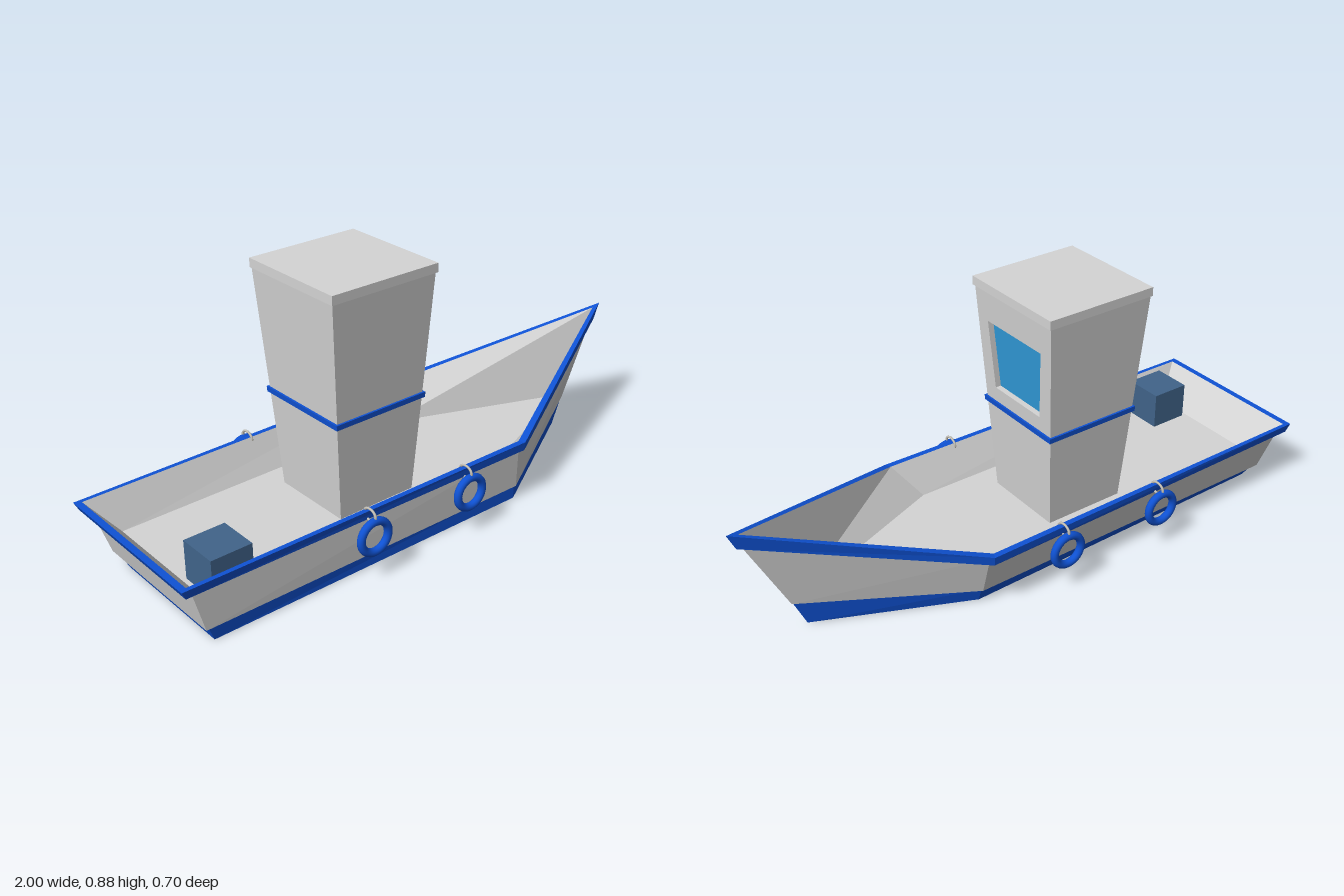
import * as THREE from 'three';

const paint = (name, color) => {
  const m = new THREE.MeshStandardMaterial({ color, side: THREE.DoubleSide });
  m.name = name;
  return m;
};

// Flat-faced surface through a list of closed rings, with optional end caps
function loft(rings, { capStart = false, capEnd = false, skip = -1 } = {}) {
  const pos = [];
  const tri = (a, b, c) => pos.push(...a, ...b, ...c);
  for (let r = 0; r < rings.length - 1; r++) {
    const a = rings[r], b = rings[r + 1], n = a.length;
    for (let i = 0; i < n; i++) {
      if (i === skip) continue;
      const j = (i + 1) % n;
      tri(a[i], a[j], b[j]);
      tri(a[i], b[j], b[i]);
    }
  }
  const cap = (ring, flip) => {
    for (let i = 1; i < ring.length - 1; i++) {
      if (flip) tri(ring[0], ring[i + 1], ring[i]);
      else tri(ring[0], ring[i], ring[i + 1]);
    }
  };
  if (capStart) cap(rings[0], true);
  if (capEnd) cap(rings[rings.length - 1], false);
  const g = new THREE.BufferGeometry();
  g.setAttribute('position', new THREE.Float32BufferAttribute(pos, 3));
  g.computeVertexNormals();
  return g;
}

// Hull outline: stern [x, y, z left, z right], knee likewise, bow [x, y]
const outline = (s, k, b) => [
  [s[0], s[1], s[2]], [k[0], k[1], k[2]], [b[0], b[1], 0],
  [k[0], k[1], -k[3]], [s[0], s[1], -s[3]],
];

// Cabin cross-section, widening upwards; grow pushes it outwards
const front = (y) => -0.054 + 0.063 * y;
const cabinRing = (y, grow = 0) => {
  const f = front(y) + grow, b = -0.33 - 0.07 * y - grow, w = 0.14 + 0.065 * y + grow;
  return [[b, y, w], [f, y, w], [f, y, -w], [b, y, -w]];
};

export function createModel() {
  const white = paint('light grey paint', 0xd4d4d4);
  const blue = paint('blue paint', 0x0f52d4);
  const glass = paint('window blue', 0x309bd9);
  const slate = paint('slate blue', 0x41648a);
  const rope = paint('rope grey', 0xc4c0b6);

  const boat = new THREE.Group();
  boat.name = 'boat';
  const add = (name, geometry, material, parent = boat) => {
    const m = new THREE.Mesh(geometry, material);
    m.name = name;
    parent.add(m);
    return m;
  };

  // Blue keel strip and bottom
  add('keel', loft([
    outline([-0.89, 0, 0.27, 0.2], [0.29, 0, 0.28, 0.22], [0.78, 0]),
    outline([-0.91, 0.05, 0.275, 0.23], [0.29, 0.05, 0.28, 0.235], [0.82, 0.092]),
  ], { capStart: true }), blue);

  // Hull sides with a small lip over the keel
  const hullTop = outline([-0.96, 0.2, 0.28, 0.28], [0.29, 0.2, 0.295, 0.285], [0.96, 0.37]);
  add('hull', loft([
    outline([-0.91, 0.05, 0.27, 0.225], [0.29, 0.05, 0.275, 0.23], [0.815, 0.092]),
    outline([-0.92, 0.05, 0.28, 0.24], [0.29, 0.05, 0.29, 0.245], [0.825, 0.094]),
    hullTop,
  ]), white);

  // Blue rail around the top edge
  const railInner = outline([-0.978, 0.225, 0.288, 0.288], [0.285, 0.225, 0.297, 0.297], [0.965, 0.415]);
  add('rail', loft([
    hullTop,
    outline([-0.985, 0.195, 0.296, 0.296], [0.295, 0.195, 0.315, 0.315], [0.975, 0.368]),
    outline([-1, 0.225, 0.302, 0.302], [0.295, 0.225, 0.318, 0.318], [1, 0.425]),
    railInner,
  ]), blue);

  // Sloped inner walls and deck
  const deckY = 0.11;
  add('innerHullAndDeck', loft([
    railInner,
    outline([-0.885, deckY, 0.232, 0.232], [0.2, deckY, 0.235, 0.235], [0.8, deckY]),
  ], { capEnd: true }), white);

  // Cabin: three plain walls, then the front wall with a recessed window
  const cabin = new THREE.Group();
  cabin.name = 'cabin';
  boat.add(cabin);
  const low = cabinRing(deckY), high = cabinRing(0.86);
  add('cabinWalls', loft([low, high], { skip: 1 }), white, cabin);
  const opening = (depth) => [[0.51, 0.117], [0.51, -0.117], [0.748, -0.137], [0.748, 0.137]]
    .map(([y, z]) => [front(y) - depth, y, z]);
  add('cabinFront', loft([
    [low[1], low[2], high[2], high[1]], opening(0), opening(0.02),
  ]), white, cabin);
  add('window', loft([opening(0.02)], { capEnd: true }), glass, cabin);
  add('cabinTrim', loft([cabinRing(0.44, 0), cabinRing(0.44, 0.007),
    cabinRing(0.458, 0.007), cabinRing(0.458, 0)]), blue, cabin);
  add('roof', new THREE.BoxGeometry(0.4, 0.03, 0.4), white, cabin).position.set(-0.194, 0.87, 0);

  // Stern storage box
  add('storageBox', new THREE.BoxGeometry(0.14, 0.13, 0.14), slate).position.set(-0.8, 0.175, 0.175);

  // Ring fenders hung from the rail on rope loops
  for (const side of [1, -1]) {
    for (const x of [-0.36, 0.03]) {
      add('fender', new THREE.TorusGeometry(0.052, 0.0135, 12, 32), blue)
        .position.set(x, 0.15, side * 0.338);
      const loop = add('fenderRope', new THREE.TorusGeometry(0.02, 0.004, 8, 20), rope);
      loop.rotation.y = Math.PI / 2;
      loop.scale.x = 1.3;
      loop.position.set(x, 0.216, side * 0.316);
    }
  }
  return boat;
}
